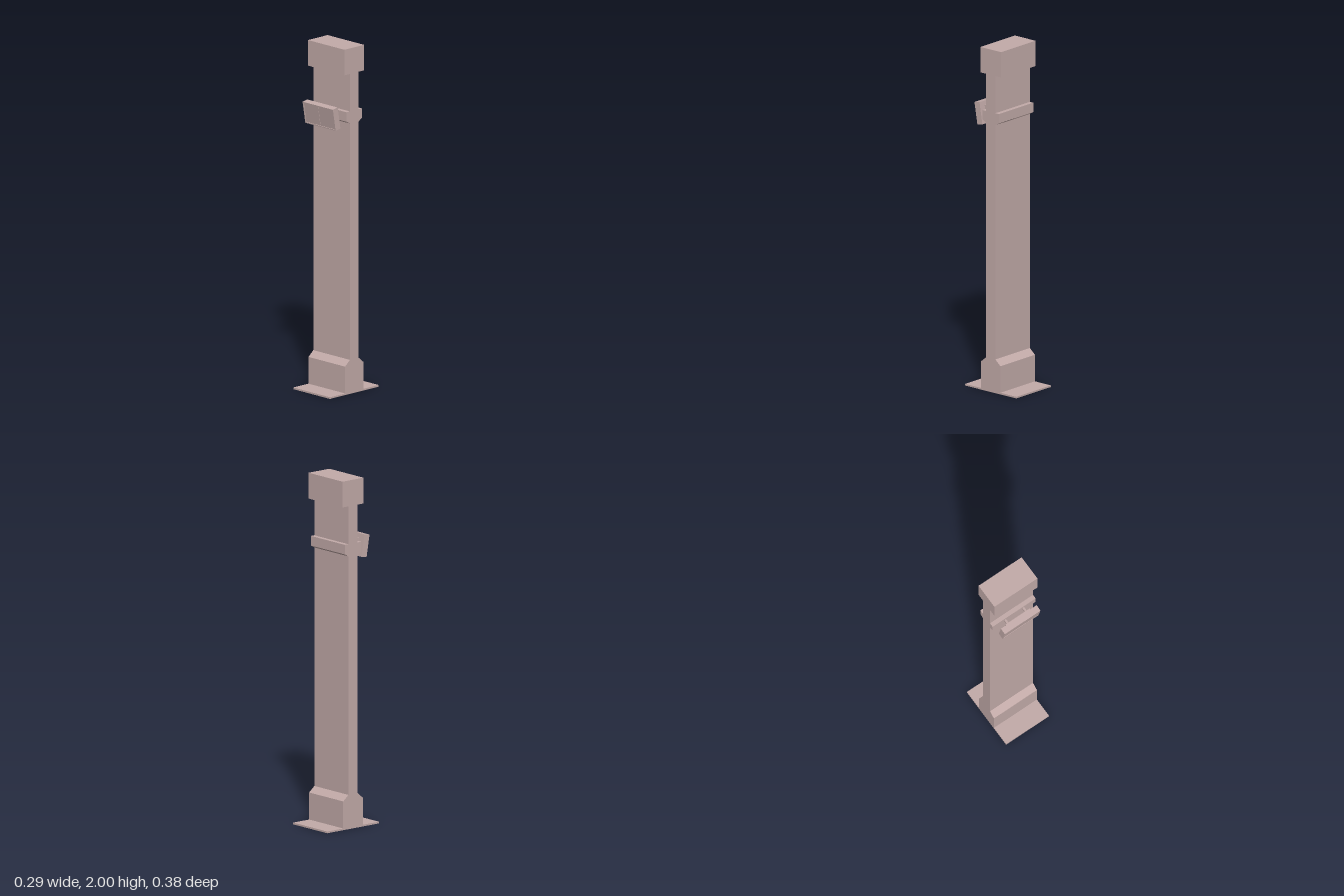
import * as THREE from 'three';

export function createModel() {
  const model = new THREE.Group();
  model.name = 'gatePost';
  const stone = new THREE.MeshStandardMaterial({ color: 0xc2aaa8 });
  stone.name = 'dusty rose';

  function box(name, parent, w, h, d, x, y, z) {
    const mesh = new THREE.Mesh(new THREE.BoxGeometry(w, h, d), stone);
    mesh.name = name;
    mesh.position.set(x, y, z);
    parent.add(mesh);
    return mesh;
  }

  // Post: half profile in (depth, height), mirrored and extruded across the width
  const half = [
    [0.072, 0.005], [0.072, 0.165], [0.034, 0.197], [0.034, 1.565],
    [0.06, 1.58], [0.06, 1.635], [0.034, 1.635], [0.034, 1.852],
    [0.077, 1.852], [0.077, 2],
  ];
  const outline = [...half, ...half.map(([z, y]) => [-z, y]).reverse()];
  const shape = new THREE.Shape(outline.map(([z, y]) => new THREE.Vector2(z, y)));
  const width = 0.294;
  const postGeometry = new THREE.ExtrudeGeometry(shape, { depth: width, bevelEnabled: false });
  postGeometry.translate(0, 0, -width / 2);
  postGeometry.rotateY(-Math.PI / 2);
  const post = new THREE.Mesh(postGeometry, stone);
  post.name = 'post';
  model.add(post);

  // Thin floor plate
  box('floorPlate', model, width, 0.01, 0.38, 0, 0.005, 0);

  // Tilted panel housing, top leaning forward
  const head = new THREE.Group();
  head.name = 'panelHead';
  head.position.set(0, 1.6, 0.113);
  head.rotation.x = 0.17;
  model.add(head);
  box('housing', head, 0.244, 0.128, 0.034, 0, 0, -0.002);

  // Raised rim and two screens with a narrow gap
  for (const s of [-1, 1]) {
    box('rimSide', head, 0.006, 0.128, 0.004, s * 0.119, 0, 0.017);
    box('rimEdge', head, 0.232, 0.006, 0.004, 0, s * 0.061, 0.017);
    box('screen', head, 0.113, 0.114, 0.002, s * 0.0575, 0, 0.016);
  }

  // Rear bracket plate and hinge arms
  box('bracketPlate', head, 0.166, 0.07, 0.01, 0, 0.005, -0.023);
  for (const s of [-1, 1]) {
    box('hingeArm', model, 0.012, 0.02, 0.036, s * 0.062, 1.61, 0.075);
  }
  return model;
}
